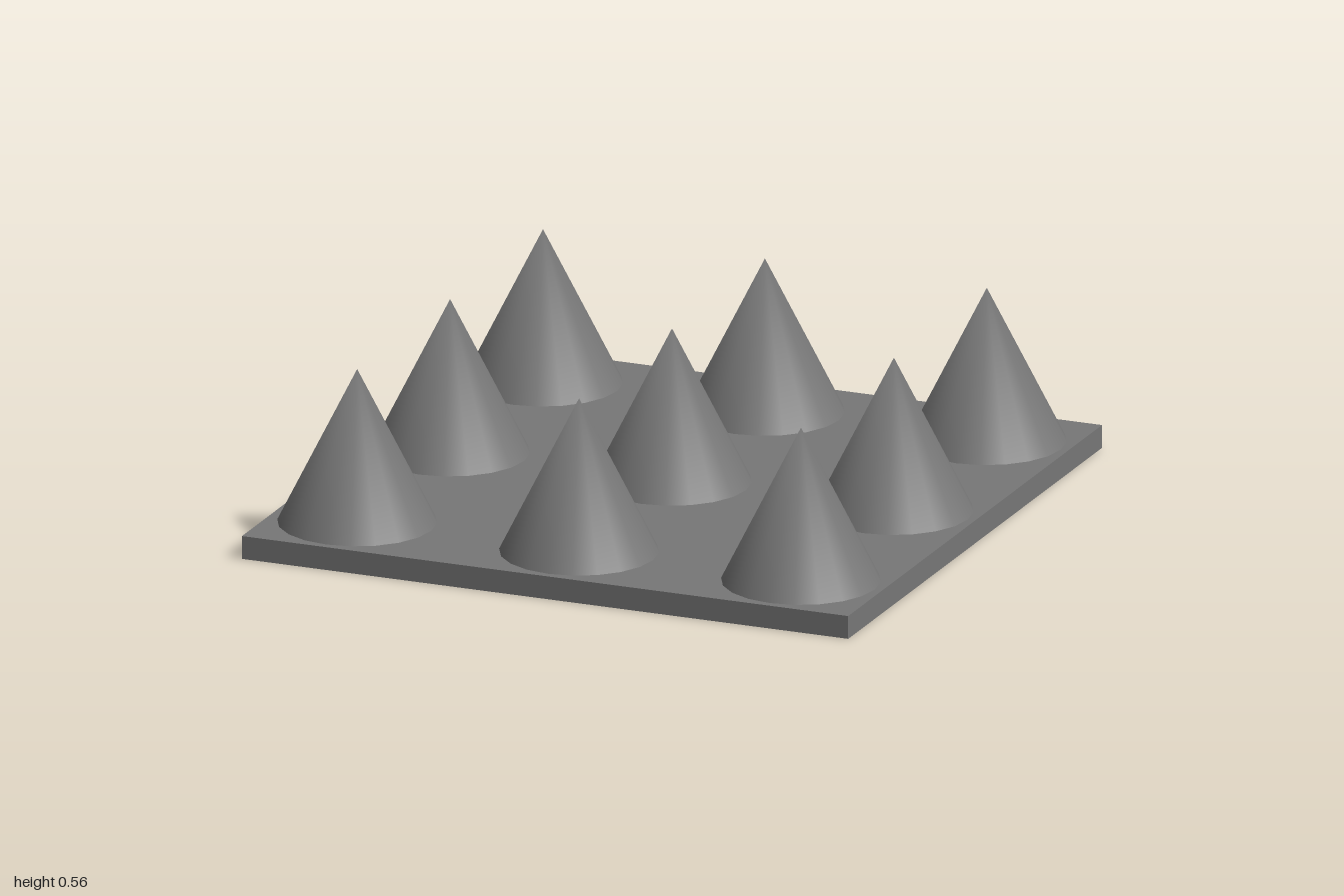
import * as THREE from 'three';
import { mergeVertices } from 'three/addons/utils/BufferGeometryUtils.js';

// Open cone whose faces share one tip vertex, so it shades smoothly up to a rounded-looking tip
function smoothCone(radius, height, sides) {
  const cone = new THREE.ConeGeometry(radius, height, sides, 1, true);
  cone.deleteAttribute('uv');
  cone.deleteAttribute('normal');
  const merged = mergeVertices(cone);
  merged.computeVertexNormals();
  return merged;
}

export function createModel() {
  const model = new THREE.Group();
  model.name = 'spikeBoard';
  const material = new THREE.MeshStandardMaterial({ color: 0x777777 });

  const baseHeight = 0.073;
  const spikeRadius = 0.244;
  const spikeHeight = 0.488;
  const spacing = 0.732;

  // Square base slab
  const base = new THREE.Mesh(new THREE.BoxGeometry(2, baseHeight, 2), material);
  base.name = 'base';
  base.position.y = baseHeight / 2;
  model.add(base);

  // Three by three grid of conical spikes, open where they meet the slab
  const spikes = new THREE.Group();
  spikes.name = 'spikes';
  const spikeGeometry = smoothCone(spikeRadius, spikeHeight, 20);
  for (let row = -1; row <= 1; row++) {
    for (let column = -1; column <= 1; column++) {
      const spike = new THREE.Mesh(spikeGeometry, material);
      spike.name = 'spike';
      spike.position.set(column * spacing, baseHeight + spikeHeight / 2, row * spacing);
      spikes.add(spike);
    }
  }
  model.add(spikes);

  return model;
}
